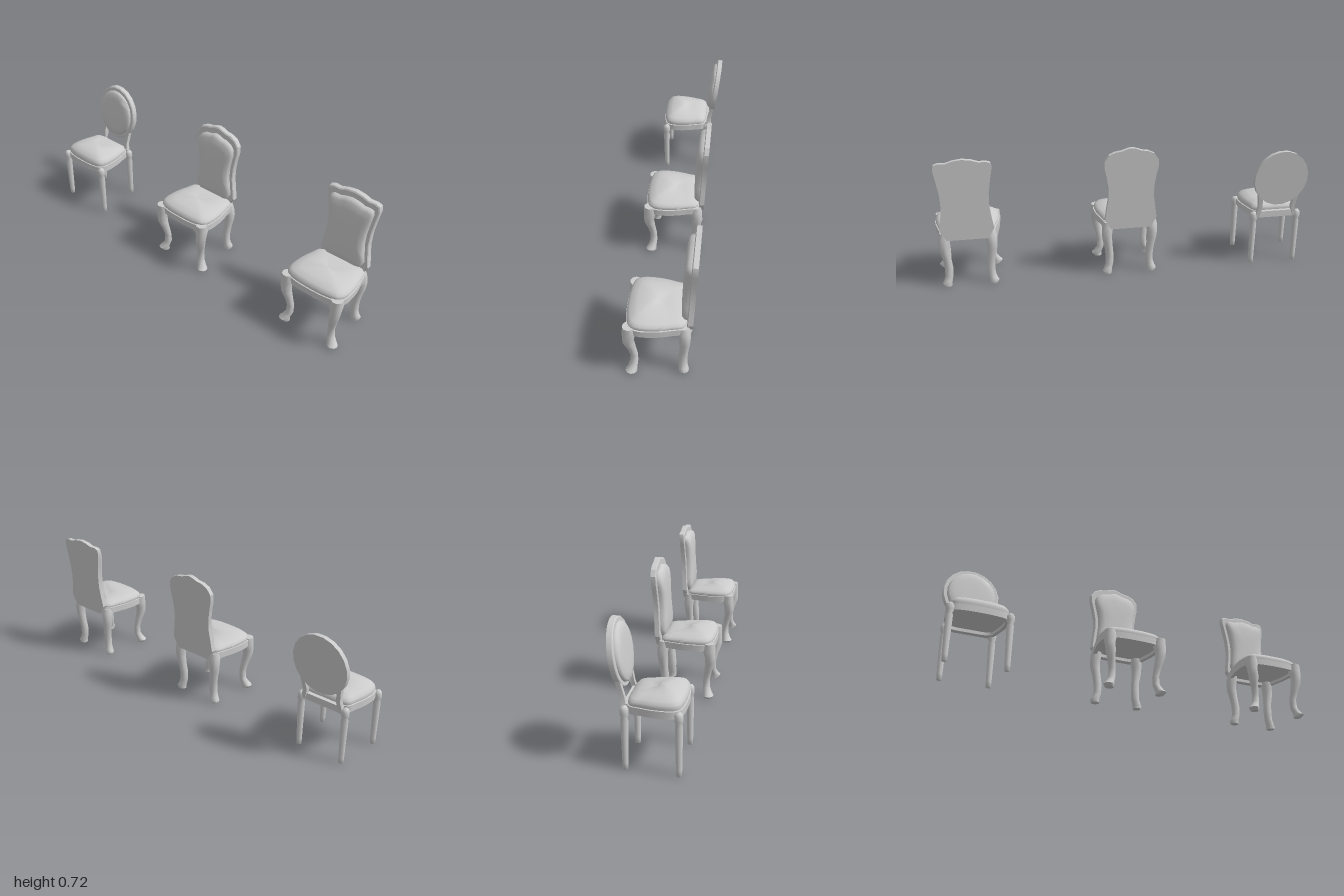
import * as THREE from 'three';
import { toCreasedNormals } from 'three/addons/utils/BufferGeometryUtils.js';

const mat = new THREE.MeshStandardMaterial({ color: 0xcccccc });

function add(group, name, geometry, x = 0, y = 0, z = 0) {
  const m = new THREE.Mesh(geometry, mat);
  m.name = name;
  m.position.set(x, y, z);
  group.add(m);
  return m;
}

// Skin over rings of points (counter-clockwise about the direction of travel), capped at both ends
function loft(rings, crease = 0.7) {
  const n = rings[0].length, pos = [], idx = [];
  rings.forEach(r => r.forEach(p => pos.push(p.x, p.y, p.z)));
  for (let i = 0; i < rings.length - 1; i++) {
    for (let j = 0; j < n; j++) {
      const k = (j + 1) % n, a = i * n, b = a + n;
      idx.push(a + j, a + k, b + k, a + j, b + k, b + j);
    }
  }
  [0, rings.length - 1].forEach((i, end) => {
    const c = rings[i].reduce((s, p) => s.add(p), new THREE.Vector3()).divideScalar(n);
    const ci = pos.length / 3;
    pos.push(c.x, c.y, c.z);
    for (let j = 0; j < n; j++) {
      const k = (j + 1) % n;
      if (end) idx.push(ci, i * n + j, i * n + k);
      else idx.push(ci, i * n + k, i * n + j);
    }
  });
  const g = new THREE.BufferGeometry();
  g.setAttribute('position', new THREE.Float32BufferAttribute(pos, 3));
  g.setIndex(idx);
  return toCreasedNormals(g, crease);
}

// Mirror a right half (bottom to top, ends on the axis) into a full counter-clockwise outline
const mirror = half => [...half, ...half.slice(1, -1).reverse().map(([x, y]) => [-x, y])];

// Seat plan as [x, -z]
const seatPlan = mirror([[0, -0.176], [0.09, -0.171], [0.145, -0.155], [0.165, -0.12],
  [0.165, -0.03], [0.15, 0.04], [0.13, 0.1], [0, 0.112]]);
const seatCurve = new THREE.CatmullRomCurve3(
  seatPlan.map(([x, v]) => new THREE.Vector3(x, 0, -v)), true, 'centripetal').getPoints(48).slice(0, 48);

function addSeat(chair, sx, sz, rise) {
  const ring = (s, y, tilt = 0) => seatCurve.map(p =>
    new THREE.Vector3(p.x * s * sx, y + tilt * p.z, (0.03 + (p.z - 0.03) * s) * sz));
  add(chair, 'seatFrame', loft([ring(0.88, 0.285), ring(0.88, 0.268), ring(1, 0.268), ring(1, 0.302), ring(0.9, 0.305)]));
  add(chair, 'seatCushion', loft([[0.95, 0], [0.98, 0.25], [0.96, 0.45], [0.88, 0.66], [0.65, 0.88], [0.35, 0.98], [0.1, 1]]
    .map(([s, h]) => ring(s, 0.298 + h * rise, 0.05 * h)), 1.2));
}

// Back panel whose outline leans backwards, with a domed cushion on its front
function addBack(chair, outline, center, padScale, zAt, depth, bulge) {
  const ring = (s, off) => outline.map(([x, y]) => {
    const Y = center + (y - center) * s;
    return new THREE.Vector3(x * s, Y, zAt(Y) + off);
  });
  add(chair, 'backFrame', loft([ring(1, -depth), ring(1, -0.004), ring(0.97, 0)], 0.4));
  add(chair, 'backCushion', loft([[1, -0.002], [0.985, 0.45], [0.91, 0.75], [0.7, 0.92], [0.4, 1], [0.1, 1]]
    .map(([s, h]) => ring(s * padScale, h * bulge)), 1.2));
}

// Cabriole leg rows: height, sideways, forward, radius
const frontLeg = [[0, 0.138, 0.145, 0.022], [0.014, 0.144, 0.15, 0.028], [0.03, 0.136, 0.144, 0.023],
  [0.055, 0.124, 0.137, 0.019], [0.1, 0.122, 0.137, 0.018], [0.15, 0.13, 0.146, 0.021],
  [0.2, 0.139, 0.158, 0.027], [0.235, 0.143, 0.157, 0.028], [0.27, 0.14, 0.151, 0.034], [0.308, 0.142, 0.153, 0.029]];
const backLeg = [[0, 0.119, -0.093, 0.022], [0.014, 0.122, -0.094, 0.025], [0.03, 0.116, -0.091, 0.022],
  [0.055, 0.109, -0.09, 0.021], [0.1, 0.108, -0.09, 0.022], [0.15, 0.113, -0.095, 0.022],
  [0.2, 0.121, -0.098, 0.026], [0.235, 0.122, -0.099, 0.028], [0.27, 0.118, -0.094, 0.031], [0.3, 0.115, -0.092, 0.027]];

function cabriole(rows, side) {
  return loft(rows.map(([y, x, z, r]) => Array.from({ length: 10 }, (_, i) => {
    const a = i / 10 * Math.PI * 2;
    return new THREE.Vector3(side * x + Math.cos(a) * r, y, z - Math.sin(a) * r);
  })), 1);
}

function cabrioleChair(name, backOutline) {
  const chair = new THREE.Group();
  chair.name = name;
  addSeat(chair, 1, 1, 0.048);
  addBack(chair, backOutline, 0.5, 0.84, y => -0.107 - 0.056 * (y - 0.3), 0.028, 0.034);
  for (const side of [-1, 1]) {
    add(chair, 'frontLeg', cabriole(frontLeg, side));
    add(chair, 'backLeg', cabriole(backLeg, side));
  }
  return chair;
}

function ovalChair() {
  const chair = new THREE.Group();
  chair.name = 'ovalBackChair';
  addSeat(chair, 0.91, 0.89, 0.06);
  const oval = Array.from({ length: 20 }, (_, i) => {
    const a = (i + 0.5) / 20 * Math.PI * 2;
    return [Math.cos(a) * 0.147, 0.505 + Math.sin(a) * 0.156];
  });
  const lean = y => -0.113 - 0.142 * (y - 0.35);
  addBack(chair, oval, 0.505, 0.86, lean, 0.028, 0.022);

  // Turned straight leg with a collar and a small cap
  const turned = new THREE.LatheGeometry([[0, 0], [0.013, 0], [0.014, 0.03], [0.018, 0.235], [0.014, 0.248],
    [0.02, 0.262], [0.02, 0.288], [0.012, 0.3], [0, 0.304]].map(p => new THREE.Vector2(...p)), 10);
  for (const side of [-1, 1]) {
    add(chair, 'frontLeg', turned, side * 0.148, 0, 0.138);
    add(chair, 'backLeg', turned, side * 0.122, 0, -0.106);
    // Post joining the seat to the oval back
    add(chair, 'backPost', loft([[0.27, 0.106, -0.108], [0.33, 0.092, -0.118], [0.41, 0.102, lean(0.41) - 0.014]]
      .map(([y, x, z]) => [[1, -1], [1, 1], [-1, 1], [-1, -1]].map(([u, v]) =>
        new THREE.Vector3(side * x + u * 0.011, y, z - v * 0.011)))));
  }
  // Rail between the posts
  add(chair, 'backRail', new THREE.BoxGeometry(0.21, 0.035, 0.022), 0, 0.287, -0.106);
  return chair;
}

export function createModel() {
  const model = new THREE.Group();
  model.name = 'diningChairs';

  const oval = ovalChair();
  oval.position.x = -0.832;

  const arched = cabrioleChair('archedBackChair', mirror([[0, 0.27], [0.105, 0.27], [0.137, 0.325], [0.128, 0.39],
    [0.119, 0.45], [0.121, 0.51], [0.131, 0.57], [0.14, 0.61], [0.14, 0.65], [0.118, 0.682],
    [0.085, 0.697], [0.05, 0.702], [0.022, 0.713], [0, 0.717]]));
  arched.position.x = -0.025;

  const crested = cabrioleChair('crestedBackChair', mirror([[0, 0.27], [0.105, 0.27], [0.137, 0.325], [0.128, 0.38],
    [0.119, 0.45], [0.121, 0.52], [0.13, 0.58], [0.137, 0.62], [0.143, 0.655], [0.138, 0.68],
    [0.115, 0.688], [0.08, 0.686], [0.045, 0.698], [0, 0.704]]));
  crested.position.x = 0.821;

  model.add(oval, arched, crested);
  return model;
}
